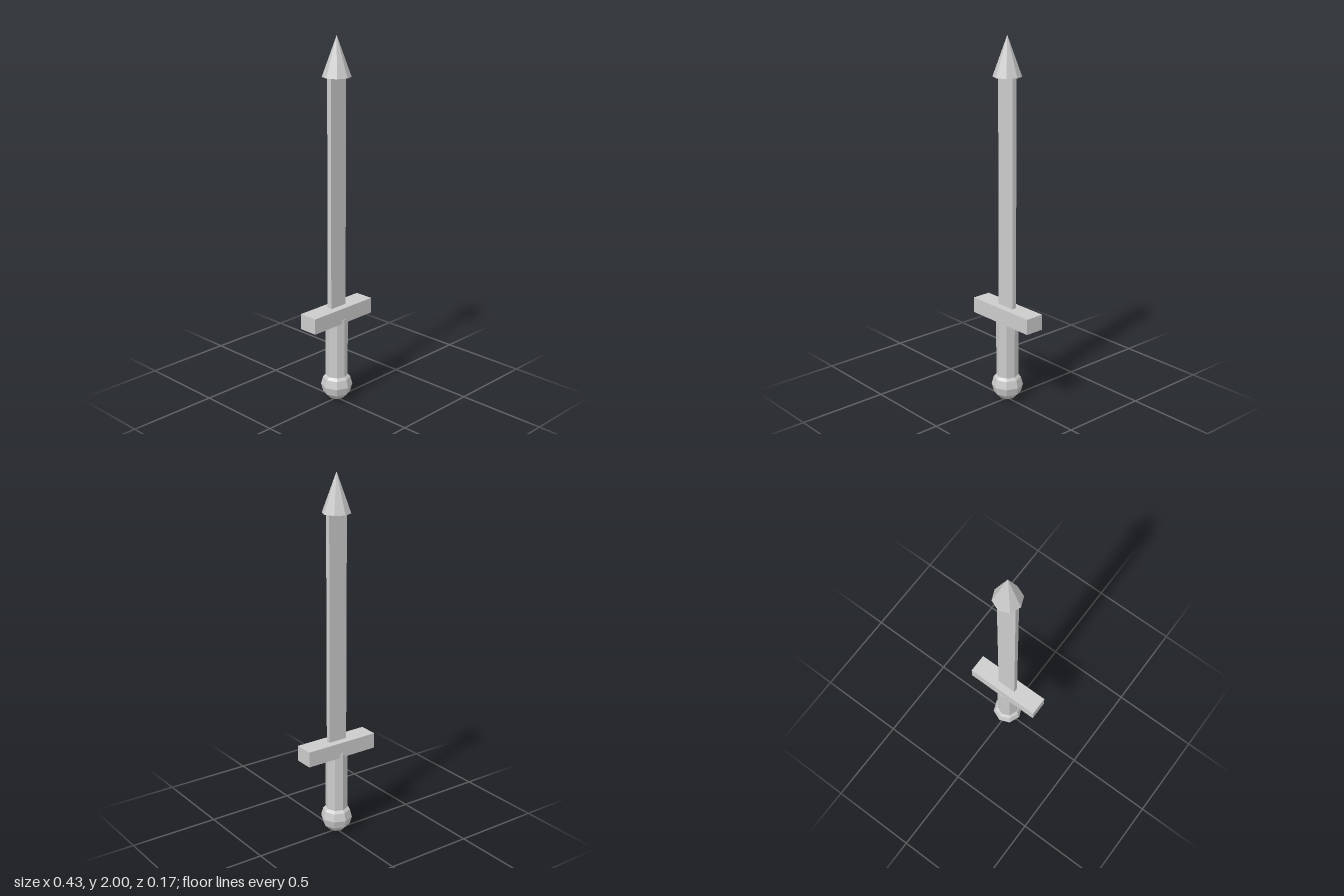
import * as THREE from 'three';

export function createModel() {
  const group = new THREE.Group();
  const material = new THREE.MeshStandardMaterial({ color: 0xcccccc, flatShading: true });

  const add = (name, geometry, y) => {
    const mesh = new THREE.Mesh(geometry, material);
    mesh.name = name;
    mesh.position.y = y;
    group.add(mesh);
  };
  // Height and centre from the bottom and top of a part
  const span = (bottom, top) => [top - bottom, (top + bottom) / 2];

  // Faceted ball at the end of the grip
  add('pommel', new THREE.SphereGeometry(0.0865, 8, 6), 0.0865);

  // Eight-sided grip, running from the pommel into the guard
  const [gripH, gripY] = span(0.09, 0.482);
  add('grip', new THREE.CylinderGeometry(0.0605, 0.0605, gripH, 8), gripY);

  // Crossguard bar
  const [guardH, guardY] = span(0.461, 0.547);
  add('crossguard', new THREE.BoxGeometry(0.433, guardH, 0.108), guardY);

  // Flat blade
  const [bladeH, bladeY] = span(0.5, 1.795);
  add('blade', new THREE.BoxGeometry(0.11, bladeH, 0.027), bladeY);

  // Eight-sided pointed tip
  const [tipH, tipY] = span(1.79, 2);
  add('tip', new THREE.ConeGeometry(0.0755, tipH, 8), tipY);

  return group;
}
